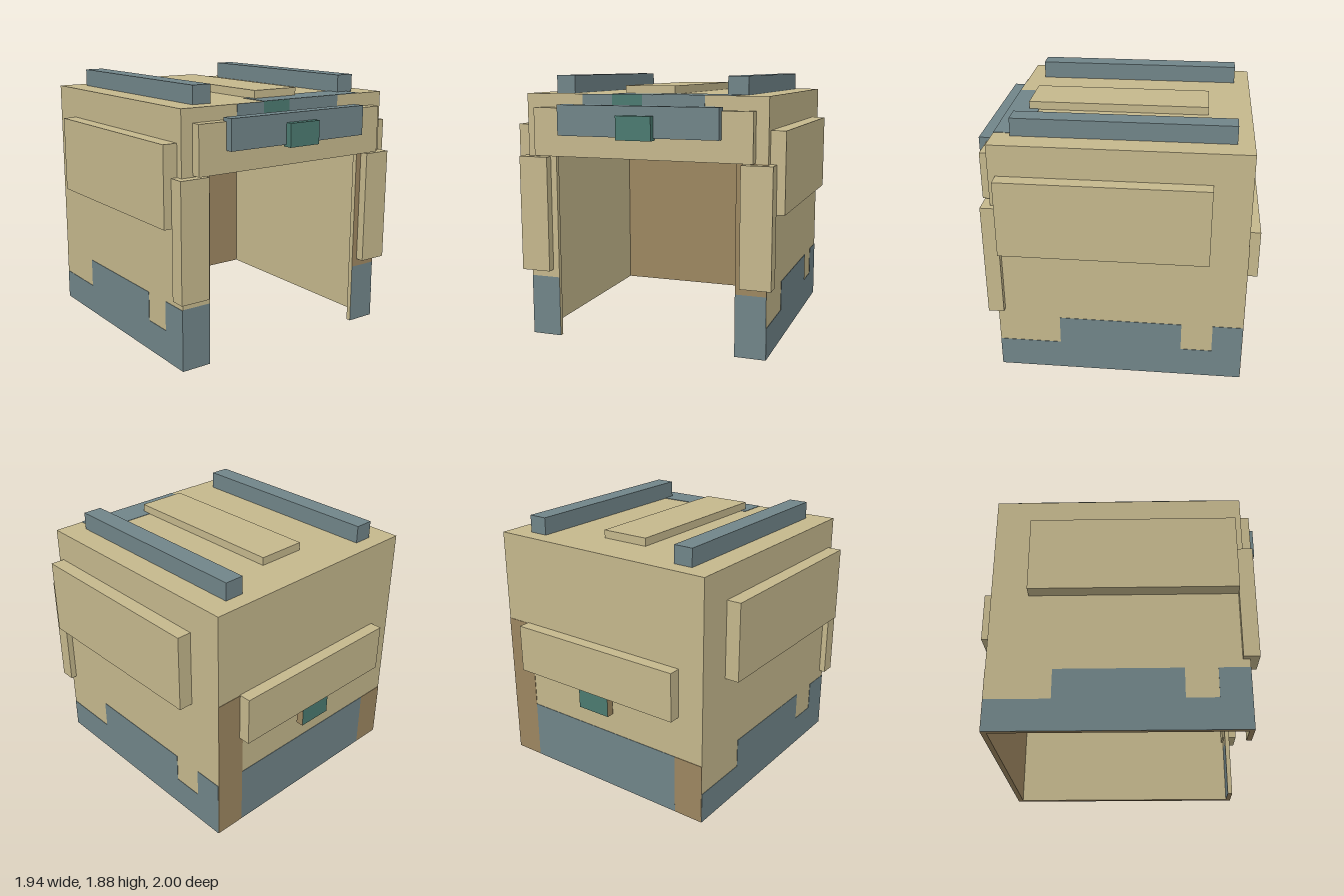
import * as THREE from 'three';

const material = (name, color) => {
  const m = new THREE.MeshStandardMaterial({ color });
  m.name = name;
  return m;
};

export function createModel() {
  const tan = material('tan', 0xc4b78c);
  const brown = material('brown', 0x9c8660);
  const grey = material('blueGrey', 0x708488);
  const teal = material('teal', 0x4b7a70);
  const model = new THREE.Group();
  model.name = 'boxShelter';

  // Box from its bounds; mat may list six materials (+x, -x, +y, -y, +z, -z)
  const box = (name, mat, x0, x1, y0, y1, z0, z1) => {
    const mesh = new THREE.Mesh(new THREE.BoxGeometry(x1 - x0, y1 - y0, z1 - z0), mat);
    mesh.position.set((x0 + x1) / 2, (y0 + y1) / 2, (z0 + z1) / 2);
    mesh.name = name;
    model.add(mesh);
    return mesh;
  };

  const W = 0.87, H = 1.75, B = -0.914, F = 0.83, T = 0.035, P = 0.003;

  // Hollow shell, open at the bottom and at the front
  for (const s of [-1, 1]) {
    const span = (a, b) => (s > 0 ? [a, b] : [-b, -a]);
    const side = s > 0 ? 'left' : 'right';
    box(side + 'Wall', [tan, tan, tan, brown, tan, tan], ...span(W - T, W), 0, H - T, B + T, F - T);
    box(side + 'PillarUpper', s > 0 ? [tan, tan, tan, brown, brown, tan] : tan,
      ...span(0.655, W), 0.435, 1.315, F - T, F);
    box(side + 'PillarFoot', [tan, tan, tan, brown, grey, s > 0 ? grey : tan],
      ...span(0.655, W), 0, 0.435, F - T, F);

    // Raised plates on the pillars and sides, and the roof rails
    box(side + 'PillarPlate', tan, ...span(0.7, 0.915), 0.49, 1.31, 0.78, 0.89);
    box(side + 'SidePlate', tan, ...span(W, 0.972), 0.98, 1.53, -0.655, 0.78);
    box(side + 'RoofRail', grey, ...span(0.56, 0.7), H, 1.875, -0.8, 0.705);
  }
  box('backWall', [tan, tan, tan, brown, brown, tan], -W, W, 0, H - T, B, B + T);
  box('roof', tan, -W, W, H - T, H, B, F);
  box('header', [tan, tan, tan, brown, tan, tan], -W, W, 1.315, H - T, F - T, F);

  // Stepped grey skirt painted on both sides
  const c = (B + F) / 2, h = (F - B) / 2;
  const skirt = new THREE.Shape([
    [-h, 0], [h, 0], [h, 0.43], [0.66, 0.43], [0.66, 0.22], [0.44, 0.22],
    [0.44, 0.43], [-0.43, 0.43], [-0.43, 0.22], [-h, 0.22],
  ].map(([u, y]) => new THREE.Vector2(u, y)));
  const skirtGeometry = new THREE.ExtrudeGeometry(skirt, { depth: P, bevelEnabled: false });
  for (const s of [-1, 1]) {
    const mesh = new THREE.Mesh(skirtGeometry, grey);
    mesh.name = s > 0 ? 'leftSkirtPaint' : 'rightSkirtPaint';
    mesh.rotation.y = s * Math.PI / 2;
    mesh.position.set(s * W, 0, c);
    model.add(mesh);
  }

  // Painted areas on the back
  box('backSkirtPaint', grey, -0.65, 0.65, 0, 0.435, B - P, B);
  box('backLeftCornerPaint', brown, 0.65, W, 0, 1.09, B - P, B);
  box('backRightCornerPaint', brown, -W, -0.65, 0, 0.435, B - P, B);

  // Painted areas on the roof edge and header
  box('roofPaint', grey, -0.22, 0.65, H, H + P, 0.61, F);
  box('headerPaintRight', grey, -0.44, -0.22, 1.65, H, F, F + P);
  box('headerPaintTeal', teal, -0.22, 0, 1.65, H, F, F + P);
  box('headerPaintLeft', grey, 0, 0.44, 1.65, H, F, F + P);

  // Raised roof panel
  box('roofPanel', tan, -0.18, 0.18, H, 1.807, -0.605, 0.68);

  // Front visor: plate, bar and lamp
  box('visorPlate', tan, -0.785, 0.785, 1.32, 1.655, F, 0.9);
  box('visorBar', grey, -0.575, 0.575, 1.47, 1.68, 0.868, 0.955);
  box('visorLamp', teal, -0.125, 0.125, 1.455, 1.617, 0.93, 1);

  // Back plate with a hanging latch
  box('backPlate', tan, -0.68, 0.68, 0.745, 1.095, -1, B);
  box('backLatch', [brown, brown, brown, brown, brown, teal], -0.13, 0.13, 0.605, 0.75, -0.992, -0.937);

  return model;
}
